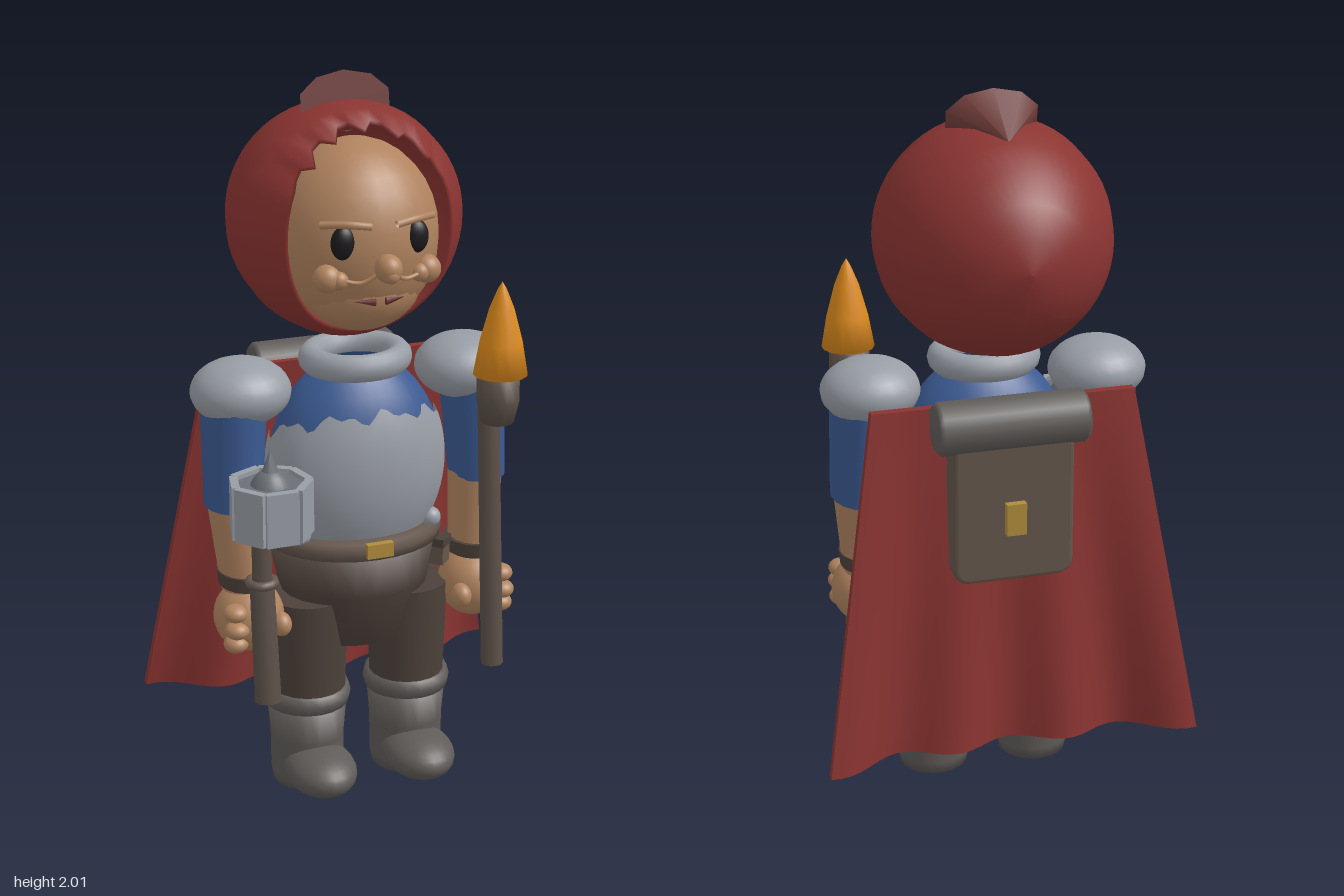
import * as THREE from 'three';

const COLORS = {
  red: 0x8a3431, darkRed: 0x6e3b38, skin: 0xb0835f, blue: 0x3b5a92, steel: 0x989da5, iron: 0x6c7076,
  brown: 0x4d413a, wood: 0x5c5048, leather: 0x64564c, boot: 0x5f5b58, gold: 0xb08c3c, flame: 0xdc8a1c,
  black: 0x1c1a1c, lip: 0x6a3030,
};
const mats = {};
const mat = (c) => (mats[c] ??= new THREE.MeshStandardMaterial({ color: COLORS[c], side: THREE.DoubleSide }));

// Move every vertex of a geometry by a rule
function warp(geo, fn) {
  const p = geo.attributes.position;
  for (let i = 0; i < p.count; i++) p.setXYZ(i, ...fn(p.getX(i), p.getY(i), p.getZ(i)));
  geo.computeVertexNormals();
  return geo;
}
const lathe = (pts, seg = 28) => new THREE.LatheGeometry(pts.map(([r, y]) => new THREE.Vector2(r, y)), seg);

export function createModel() {
  const model = new THREE.Group();
  const add = (name, geo, color, pos = [0, 0, 0], scale = [1, 1, 1], rot = [0, 0, 0], parent = model) => {
    const m = new THREE.Mesh(geo, mat(color));
    m.name = name;
    m.position.set(...pos);
    m.scale.set(...scale);
    m.rotation.set(...rot);
    parent.add(m);
    return m;
  };
  const ball = new THREE.SphereGeometry(1, 24, 16);
  const blob = (name, color, pos, r) => add(name, ball, color, pos, r.length ? r : [r, r, r]);
  const tube = (name, color, pts, r) => add(name,
    new THREE.TubeGeometry(new THREE.CatmullRomCurve3(pts.map((p) => new THREE.Vector3(...p))), 12, r, 8), color);
  const rod = (name, color, a, b, ra, rb, sides = 12) => {
    const va = new THREE.Vector3(...a), d = new THREE.Vector3(...b).sub(va);
    const m = add(name, new THREE.CylinderGeometry(rb, ra, d.length(), sides), color);
    m.position.copy(va).addScaledVector(d, 0.5);
    m.quaternion.setFromUnitVectors(new THREE.Vector3(0, 1, 0), d.normalize());
    return m;
  };

  // Hood: shell around the z axis with lining and a ragged upper rim
  const hood = lathe([[0, -0.41], [0.09, -0.395], [0.17, -0.355], [0.235, -0.29], [0.285, -0.2], [0.312, -0.11],
    [0.318, -0.03], [0.308, 0.04], [0.235, 0.15], [0.225, 0.149], [0.25, 0.02], [0.24, -0.1], [0, -0.25]], 56);
  hood.rotateX(Math.PI / 2);
  warp(hood, (x, y, z) => {
    if (z < 0.1) return [x, y, z];
    const r = Math.hypot(x, y), c = y / r, k = 1 + 0.21 * c * c;
    const a = Math.atan2(x, y), step = Math.round(a / (Math.PI * 2 / 56));
    const tooth = Math.abs(a) < 1.0 ? (step % 3 === 0 ? 0.035 : -0.015) : 0;
    const drop = tooth > 0 ? 0.95 : 1;
    return [x * k * drop, y * k * drop, z - 0.07 * c ** 4 + tooth];
  });
  add('hood', hood, 'red', [0, 1.615, 0]);
  add('hoodTip', new THREE.ConeGeometry(0.13, 0.16, 10), 'darkRed', [0, 1.915, -0.115], [1, 1, 0.62], [-1.75, 0, 0]);

  // Face
  blob('face', 'skin', [0, 1.59, 0.035], [0.225, 0.258, 0.222]);
  blob('chin', 'skin', [0, 1.47, 0.075], [0.165, 0.13, 0.155]);
  blob('nose', 'skin', [0, 1.56, 0.285], [0.036, 0.038, 0.04]);
  blob('noseTip', 'skin', [0, 1.547, 0.303], 0.023);
  for (const s of [-1, 1]) {
    blob('eye', 'black', [s * 0.1, 1.62, 0.222], [0.034, 0.045, 0.024]);
    tube('brow', 'skin', [[s * 0.035, 1.665, 0.253], [s * 0.09, 1.672, 0.243], [s * 0.155, 1.667, 0.2]], 0.01);
    blob('cheek', 'skin', [s * 0.138, 1.525, 0.205], 0.038);
    blob('smallCheek', 'skin', [s * 0.112, 1.522, 0.222], 0.025);
    tube('cheekFold', 'skin', [[s * 0.02, 1.542, 0.265], [s * 0.06, 1.518, 0.25], [s * 0.11, 1.525, 0.235]], 0.006);
    add('mouth', new THREE.ConeGeometry(0.011, 0.06, 6), 'lip', [s * 0.043, 1.458, 0.226], [1, 1, 0.6],
      [0, s * 0.2, -s * 1.5]);
  }

  // Torso, breastplate and collar
  const R = (y) => 0.25 * Math.sqrt(Math.max(0, 1 - ((y - 0.95) / 0.31) ** 2));
  const ys = Array.from({ length: 15 }, (_, i) => 0.72 + i * 0.037);
  add('tunic', lathe(ys.map((y) => [R(y) - 0.006, y]), 32), 'blue', [0, 0, 0.04], [1, 1, 0.72]);
  const plate = warp(new THREE.PlaneGeometry(1, 1, 40, 14), (u, v) => {
    const phi = u * 3.5, jag = 0.012 * Math.sin(phi * 9) + 0.01 * Math.sin(phi * 17);
    const top = 1.125 - 0.025 * phi * phi + jag;
    const y = 0.775 + (v + 0.5) * (top - 0.775), r = R(y) + 0.005;
    return [r * Math.sin(phi), y, r * Math.cos(phi)];
  });
  add('breastplate', plate, 'steel', [0, 0, 0.04], [1, 1, 0.74]);
  add('collar', new THREE.TorusGeometry(0.122, 0.035, 12, 28), 'steel', [0, 1.248, 0.04], [1, 0.9, 1.1], [Math.PI / 2, 0, 0]);

  // Belt, skirt and pouch
  add('skirt', lathe([[0, 0.46], [0.12, 0.45], [0.165, 0.44], [0.215, 0.6], [0.243, 0.73], [0, 0.735]], 24), 'brown',
    [0, 0, 0.025], [1, 1, 0.84]);
  add('belt', lathe([[0.2, 0.725], [0.247, 0.725], [0.25, 0.75], [0.24, 0.772], [0.19, 0.772]], 28), 'leather',
    [0, 0, 0.025], [1, 1, 0.84]);
  add('buckle', new THREE.BoxGeometry(0.075, 0.04, 0.02), 'gold', [0, 0.755, 0.232]);
  add('pouch', new THREE.BoxGeometry(0.05, 0.07, 0.05), 'leather', [0.215, 0.68, 0.125], [1, 1, 1], [0, 0.8, 0]);
  add('pouchFlap', new THREE.BoxGeometry(0.056, 0.025, 0.056), 'brown', [0.215, 0.71, 0.125], [1, 1, 1], [0, 0.8, 0]);

  for (const s of [-1, 1]) {
    blob('beltStud', 'steel', [s * 0.19, 0.785, 0.13], 0.028);
    // Arm
    blob('shoulderPlate', 'steel', [s * 0.322, 1.185, 0.03], [0.137, 0.09, 0.132]);
    rod('sleeve', 'blue', [s * 0.357, 0.87, 0.055], [s * 0.345, 1.16, 0.035], 0.077, 0.088, 16).scale.z = 1.3;
    rod('forearm', 'skin', [s * 0.336, 0.64, 0.08], [s * 0.353, 0.885, 0.055], 0.064, 0.074, 16).scale.z = 1.25;
    add('bracelet', new THREE.CylinderGeometry(0.074, 0.07, 0.042, 18), 'brown', [s * 0.336, 0.67, 0.077], [1, 1, 1.22]);
    blob('hand', 'skin', [s * 0.332, 0.56, 0.1], [0.097, 0.1, 0.1]);
    blob('thumb', 'skin', [s * 0.265, 0.555, 0.18], [0.028, 0.034, 0.035]);
    for (let i = 0; i < 3; i++)
      blob('finger', 'skin', [s * 0.39, 0.6 - i * 0.045, 0.165 + (i === 1 ? 0.012 : 0)], [0.034, 0.025, 0.035]);
    // Leg and boot
    add('trouserLeg', new THREE.CylinderGeometry(0.115, 0.105, 0.32, 18), 'brown', [s * 0.148, 0.42, 0.06]);
    add('bootCuff', lathe([[0.1, 0.245], [0.118, 0.25], [0.124, 0.275], [0.117, 0.3], [0.098, 0.302]], 20), 'boot',
      [s * 0.15, 0, 0.055]);
    add('bootShaft', lathe([[0, 0], [0.098, 0.005], [0.103, 0.04], [0.104, 0.15], [0.113, 0.26], [0, 0.262]], 20), 'boot',
      [s * 0.15, 0, 0.055]);
    blob('bootToe', 'boot', [s * 0.148, 0.077, 0.16], [0.1, 0.065, 0.132]);
  }

  // Mace in the right hand
  const mx = -0.33;
  rod('maceGrip', 'wood', [mx, 0.37, 0.255], [mx, 0.7, 0.215], 0.037, 0.034);
  rod('maceShaft', 'wood', [mx, 0.68, 0.218], [mx, 0.9, 0.215], 0.028, 0.026);
  add('maceRing', new THREE.TorusGeometry(0.034, 0.013, 8, 16), 'leather', [mx, 0.705, 0.215], [1, 1, 1], [Math.PI / 2, 0, 0]);
  const mace = new THREE.Group();
  mace.name = 'maceHead';
  mace.position.set(mx, 0.957, 0.3);
  model.add(mace);
  add('maceCore', new THREE.CylinderGeometry(0.088, 0.088, 0.125, 7), 'iron', [0, 0, 0], [1, 1, 1], [0, Math.PI / 7, 0], mace);
  for (let i = 0; i < 7; i++) {
    const a = (i / 7) * Math.PI * 2;
    add('macePlate', new THREE.BoxGeometry(0.088, 0.146, 0.022), 'steel',
      [0.093 * Math.sin(a), 0, 0.093 * Math.cos(a)], [1, 1, 1], [0, a, 0], mace);
  }
  add('maceDome', ball, 'iron', [0, 0, 0], [0.066, 0.105, 0.066], [0, 0, 0], mace);
  add('maceSpike', new THREE.ConeGeometry(0.03, 0.08, 10), 'iron', [0, 0.117, 0], [1, 1, 1], [0, 0, 0], mace);

  // Torch in the left hand
  rod('torchShaft', 'wood', [0.33, 0.37, 0.255], [0.33, 1.12, 0.19], 0.031, 0.03);
  add('torchCup', lathe([[0, 1.085], [0.045, 1.09], [0.058, 1.15], [0.058, 1.235], [0, 1.235]], 12), 'wood', [0.33, 0, 0.25]);
  add('flame', lathe([[0, 1.23], [0.074, 1.23], [0.058, 1.32], [0.034, 1.41], [0.012, 1.465], [0, 1.485]], 14), 'flame',
    [0.33, 0, 0.262]);

  // Cape: a thin slab that flares and ripples towards the hem
  const cape = warp(new THREE.BoxGeometry(1, 1, 1, 36, 14, 1), (u, v, w) => {
    const t = 0.5 - v, edge = 2 * Math.abs(u);
    const ripple = 0.03 * t * Math.cos(u * 21) - 0.055 * t * edge ** 4;
    return [u * 2 * (0.365 + 0.163 * t), 1.19 - 0.995 * t, -0.155 - 0.07 * t + ripple + w * 0.025];
  });
  add('cape', cape, 'red');

  // Backpack with bedroll
  const s = new THREE.Shape();
  const [hw, hh, c] = [0.155, 0.2, 0.035];
  s.moveTo(-hw, hh).lineTo(-hw, -hh + c).quadraticCurveTo(-hw, -hh, -hw + c, -hh);
  s.lineTo(hw - c, -hh).quadraticCurveTo(hw, -hh, hw, -hh + c).lineTo(hw, hh);
  add('backpack', new THREE.ExtrudeGeometry(s, { depth: 0.065, bevelSize: 0.012, bevelThickness: 0.015, bevelSegments: 3 }),
    'leather', [0, 0.92, -0.25]);
  add('packClasp', new THREE.BoxGeometry(0.055, 0.09, 0.024), 'gold', [0, 0.895, -0.275]);
  add('bedroll', lathe([[0, -0.21], [0.062, -0.208], [0.073, -0.195], [0.073, 0.195], [0.062, 0.208], [0, 0.21]], 18), 'boot',
    [0, 1.152, -0.222], [1, 1, 1], [0, 0, Math.PI / 2]);

  return model;
}
